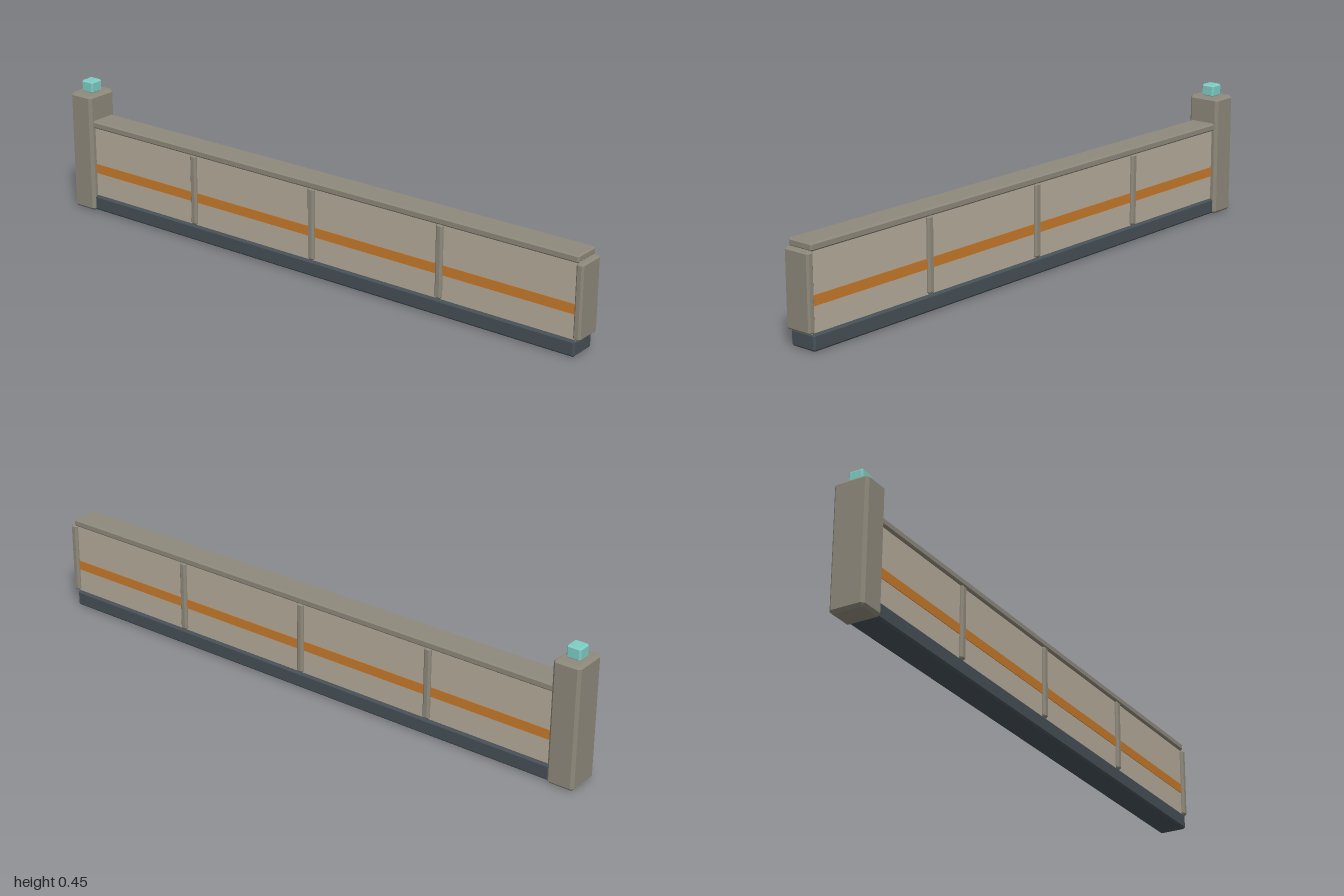
import * as THREE from 'three';
import { ConvexGeometry } from 'three/addons/geometries/ConvexGeometry.js';

const mat = (name, color) => {
  const m = new THREE.MeshStandardMaterial({ color });
  m.name = name;
  return m;
};

// Box with every edge and corner cut off at 45 degrees
function chamferBox(w, h, d, c) {
  const pts = [];
  const x = w / 2, y = h / 2, z = d / 2;
  for (const i of [-1, 1]) for (const j of [-1, 1]) for (const k of [-1, 1]) {
    pts.push(new THREE.Vector3(i * x, j * (y - c), k * (z - c)));
    pts.push(new THREE.Vector3(i * (x - c), j * y, k * (z - c)));
    pts.push(new THREE.Vector3(i * (x - c), j * (y - c), k * z));
  }
  return new ConvexGeometry(pts);
}

export function createModel() {
  const group = new THREE.Group();
  group.name = 'barrierWall';

  const frame = mat('frame grey', 0x8e897b);
  const panel = mat('panel beige', 0xb4ab9b);
  const base = mat('base slate', 0x465057);
  const orange = mat('stripe orange', 0xc67a2a);
  const teal = mat('lamp teal', 0x7fcdc5);

  // Adds a block spanning x0..x1, y0..y1 and z = -halfZ..halfZ
  function block(name, material, x0, x1, y0, y1, halfZ, chamfer = 0) {
    const w = x1 - x0, h = y1 - y0, d = halfZ * 2;
    const geo = chamfer ? chamferBox(w, h, d, chamfer) : new THREE.BoxGeometry(w, h, d);
    const mesh = new THREE.Mesh(geo, material);
    mesh.name = name;
    mesh.position.set((x0 + x1) / 2, (y0 + y1) / 2, 0);
    group.add(mesh);
    return mesh;
  }

  const postX = -0.954, endX = 0.983;

  // Long wall: plinth, recessed panel and top rail
  block('plinth', base, postX, endX, 0.002, 0.054, 0.048, 0.006);
  block('wallPanel', panel, postX, endX - 0.003, 0.05, 0.3, 0.038);
  block('topRail', frame, postX, endX, 0.295, 0.32, 0.047, 0.005);

  // Painted stripe on both faces
  for (const side of [-1, 1]) {
    const stripe = block('stripe', orange, postX, endX - 0.004, 0.134, 0.166, 0.002);
    stripe.position.z = side * 0.038;
  }

  // Evenly spaced ribs, the last one closing the free end
  const spacing = 0.4853;
  for (let i = 1; i <= 4; i++) {
    const x = postX + i * spacing;
    block('rib', frame, x - 0.0125, x + 0.0125, 0.056, 0.297, 0.048, 0.006);
  }

  // End post with its small lamp
  block('endPost', frame, -1, -0.908, 0, 0.408, 0.058, 0.009);
  block('lamp', teal, postX - 0.024, postX + 0.024, 0.405, 0.446, 0.024, 0.005);

  return group;
}
